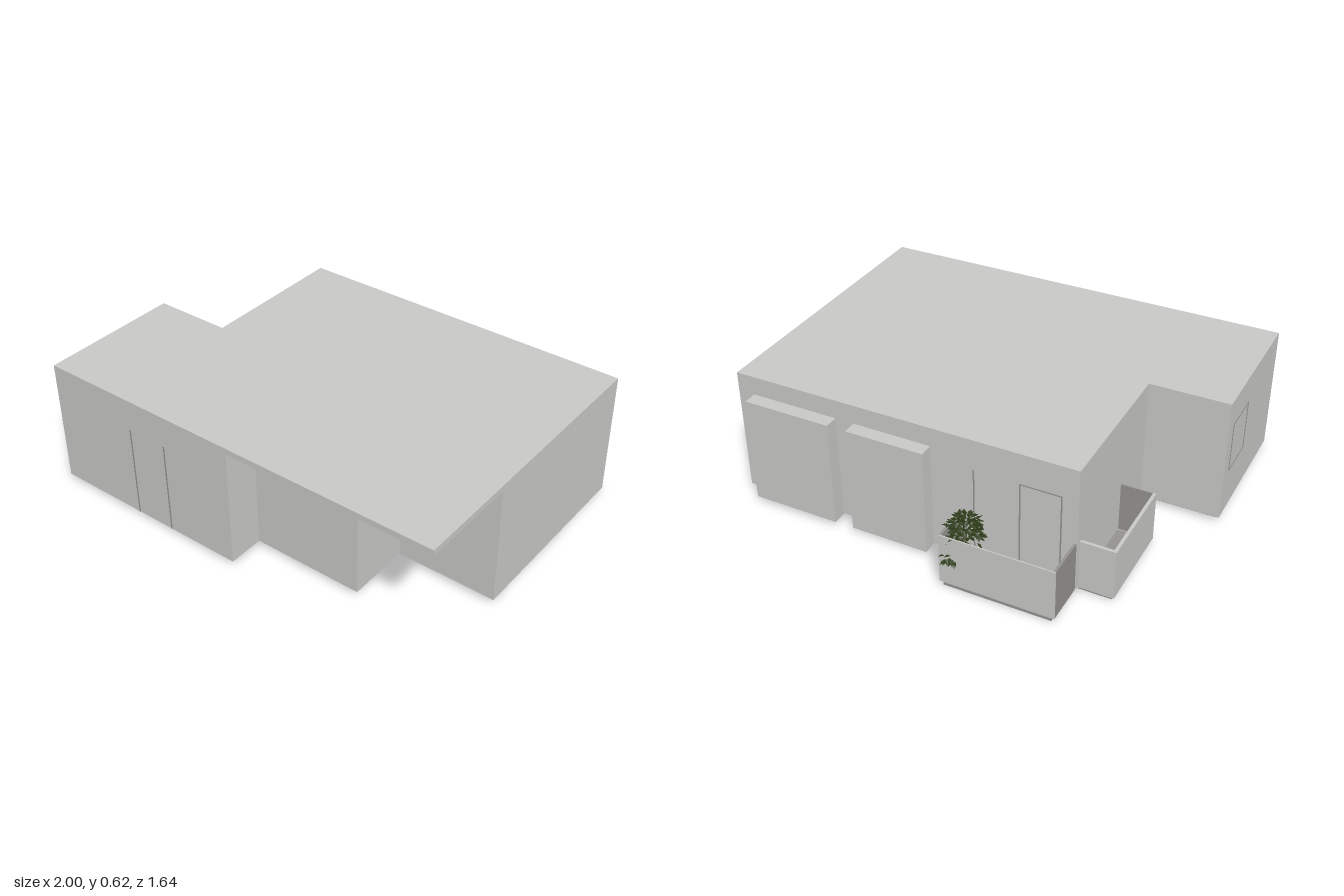
import * as THREE from 'three';

const wallGrey = new THREE.MeshStandardMaterial({ color: 0xc8c8c6 });
wallGrey.name = 'wallGrey';
const slabGrey = new THREE.MeshStandardMaterial({ color: 0x959390 });
slabGrey.name = 'slabGrey';
const leafGreen = new THREE.MeshStandardMaterial({ color: 0x2b3a17, side: THREE.DoubleSide });
leafGreen.name = 'leafGreen';

// Box given by its two extents on each axis
function box(parent, name, material, [x0, x1], [y0, y1], [z0, z1]) {
  const mesh = new THREE.Mesh(new THREE.BoxGeometry(x1 - x0, y1 - y0, z1 - z0), material);
  mesh.position.set((x0 + x1) / 2, (y0 + y1) / 2, (z0 + z1) / 2);
  mesh.name = name;
  parent.add(mesh);
  return mesh;
}

// Plan outline in [x, z] raised from y0 to y1
function prism(parent, name, material, outline, y0, y1) {
  const shape = new THREE.Shape(outline.map(([x, z]) => new THREE.Vector2(x, -z)));
  const geometry = new THREE.ExtrudeGeometry(shape, { depth: y1 - y0, bevelEnabled: false });
  geometry.rotateX(-Math.PI / 2).translate(0, y0, 0);
  const mesh = new THREE.Mesh(geometry, material);
  mesh.name = name;
  parent.add(mesh);
}

// Stepped plan of the house, moved inward by d
function housePlan(d) {
  return [
    [-1 + d, 0.81 - d], [0 - d, 0.81 - d], [0 - d, 0.64 - d], [0.53 - d, 0.64 - d],
    [0.53 - d, 0.34 - d], [1 - d, 0.34 - d], [1 - d, -0.59 + d], [-0.63 + d, -0.59 + d],
    [-0.63 + d, 0.13 + d], [-1 + d, 0.13 + d],
  ];
}

function seeded(seed) {
  return () => {
    seed = (seed * 1664525 + 1013904223) % 4294967296;
    return seed / 4294967296;
  };
}

// Bushy plant made of small folded leaves
function createPlant() {
  const plant = new THREE.Group();
  plant.name = 'balconyPlant';
  const pot = new THREE.Mesh(new THREE.CylinderGeometry(0.045, 0.035, 0.11, 12), slabGrey);
  pot.position.y = 0.067;
  pot.name = 'plantPot';
  plant.add(pot);

  const leaf = new THREE.BufferGeometry();
  leaf.setAttribute('position', new THREE.Float32BufferAttribute([
    0, 0, 0, 0.009, 0.004, 0.014, 0, 0, 0.034, -0.009, 0.004, 0.014,
  ], 3));
  leaf.setIndex([0, 2, 1, 0, 3, 2]);
  leaf.computeVertexNormals();

  const rand = seeded(7);
  const addLeaf = (x, y, z, turn, tilt) => {
    const mesh = new THREE.Mesh(leaf, leafGreen);
    mesh.position.set(x, y, z);
    mesh.rotation.set(tilt, turn, 0, 'YXZ');
    mesh.name = 'leaf';
    plant.add(mesh);
  };
  for (let i = 0; i < 190; i++) {
    const a = rand() * Math.PI * 2;
    const r = 0.068 * Math.sqrt(rand());
    const y = 0.325 - 9 * r * r - 0.07 * rand();
    addLeaf(Math.sin(a) * r, y, Math.cos(a) * r, a + rand() - 0.5, rand() * 1.3 - 0.4);
  }
  // A trailing sprig that hangs over the back rail
  for (let i = 0; i < 12; i++) {
    addLeaf(0.01 + 0.04 * rand(), 0.13 + 0.045 * rand(), -0.07 - 0.012 * rand(),
      Math.PI + rand() * 1.6 - 0.8, rand() * 1.2 - 0.3);
  }
  const stem = new THREE.Mesh(new THREE.CylinderGeometry(0.006, 0.008, 0.2, 6), leafGreen);
  stem.position.y = 0.2;
  stem.name = 'plantStem';
  plant.add(stem);
  plant.position.set(-0.18, 0, -0.71);
  return plant;
}

export function createModel() {
  const house = new THREE.Group();
  house.name = 'house';

  // Floor, walls and flat roof
  prism(house, 'floorUnderside', slabGrey, housePlan(0.02), 0.008, 0.013);
  prism(house, 'floorSlab', wallGrey, housePlan(0.02), 0.013, 0.025);
  prism(house, 'walls', wallGrey, housePlan(0), 0.025, 0.592);
  prism(house, 'flatRoof', wallGrey,
    [[-1, 0.81], [1, 0.81], [1, -0.59], [-0.63, -0.59], [-0.63, 0.13], [-1, 0.13]], 0.592, 0.62);

  // Projecting bays on the back wall
  for (const xs of [[0.04, 0.41], [0.5, 0.92]]) {
    box(house, 'backBay', wallGrey, xs, [0.02, 0.53], [-0.655, -0.585]);
  }

  // Front door joints
  for (const x of [-0.55, -0.355]) {
    box(house, 'frontDoorJoint', slabGrey, [x - 0.003, x + 0.003], [0.025, 0.47], [0.808, 0.812]);
  }

  // Balcony door: one framed leaf and the far joint
  for (const x of [-0.555, -0.37, -0.16]) {
    box(house, 'balconyDoorJoint', slabGrey, [x - 0.003, x + 0.003], [0.025, 0.475], [-0.592, -0.588]);
  }
  box(house, 'balconyDoorHead', slabGrey, [-0.555, -0.37], [0.47, 0.475], [-0.592, -0.588]);

  // Side window frame
  for (const z of [0.2, 0.4]) {
    box(house, 'windowJamb', slabGrey, [-1.002, -0.998], [0.24, 0.48], [z - 0.003, z + 0.003]);
  }
  for (const y of [0.24, 0.48]) {
    box(house, 'windowRail', slabGrey, [-1.002, -0.998], [y - 0.003, y + 0.003], [0.2, 0.4]);
  }

  // Back balcony
  const back = new THREE.Group();
  back.name = 'backBalcony';
  box(back, 'backBalconyFloor', slabGrey, [-0.61, -0.115], [0, 0.012], [-0.785, -0.585]);
  box(back, 'backBalconyRail', wallGrey, [-0.625, -0.1], [0.02, 0.26], [-0.79, -0.784]);
  for (const x of [-0.625, -0.112]) {
    box(back, 'backBalconySide', slabGrey, [x, x + 0.012], [0.02, 0.26], [-0.784, -0.59]);
  }
  house.add(back);

  // Side balcony
  const side = new THREE.Group();
  side.name = 'sideBalcony';
  box(side, 'sideBalconyFloor', slabGrey, [-0.775, -0.625], [0, 0.012], [-0.555, -0.133]);
  box(side, 'sideBalconyRail', wallGrey, [-0.79, -0.775], [0.02, 0.26], [-0.57, -0.13]);
  box(side, 'sideBalconyBackEnd', wallGrey, [-0.775, -0.63], [0.02, 0.26], [-0.57, -0.555]);
  box(side, 'sideBalconyFrontEnd', slabGrey, [-0.775, -0.63], [0.02, 0.26], [-0.136, -0.13]);
  house.add(side);

  house.add(createPlant());
  return house;
}
